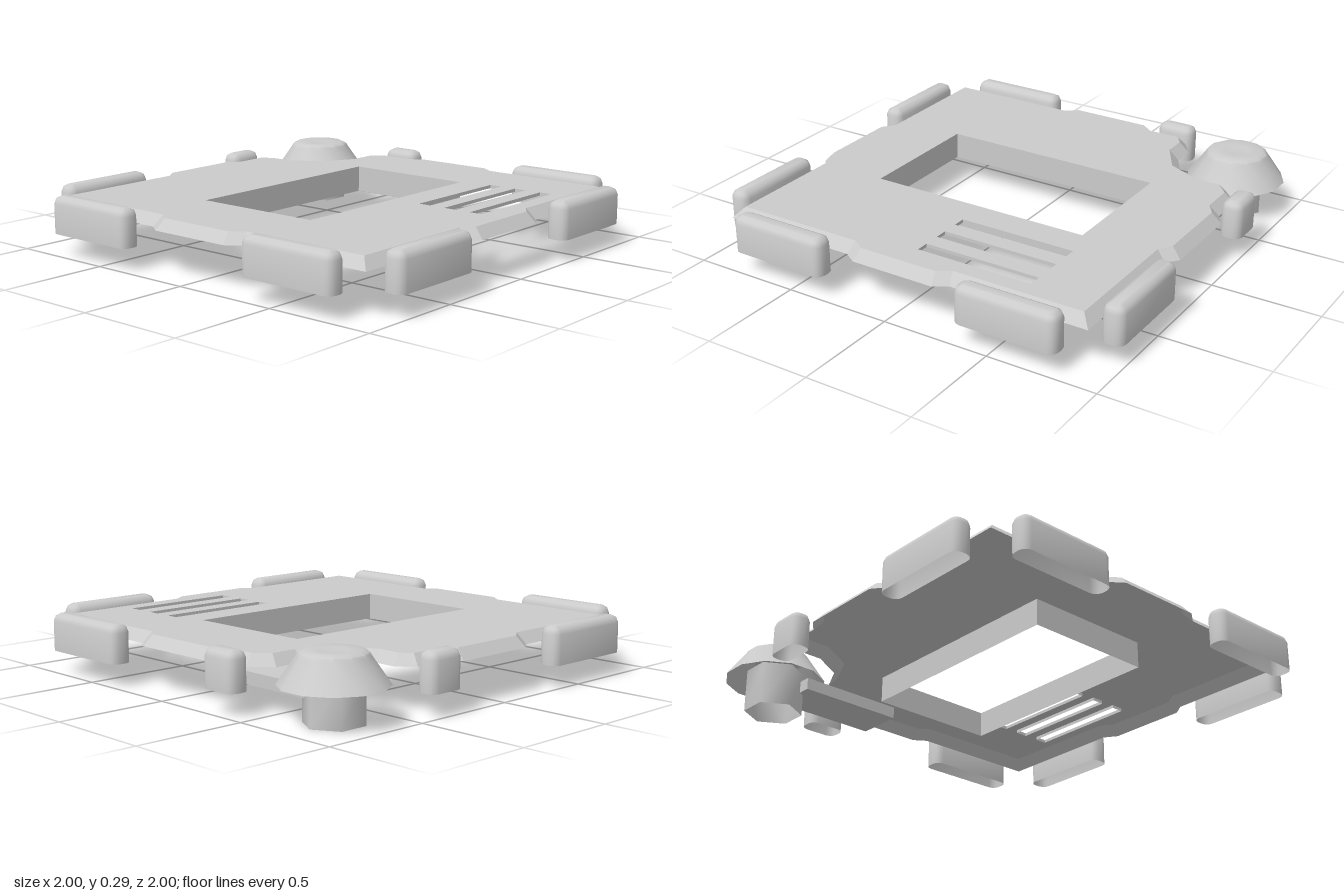
import * as THREE from 'three';
import { mergeGeometries, toCreasedNormals } from 'three/addons/utils/BufferGeometryUtils.js';

const V = (x, y) => new THREE.Vector2(x, y);
const material = new THREE.MeshStandardMaterial({ color: 0xcccccc, side: THREE.DoubleSide });

// Moves a counter-clockwise outline inwards by d with mitred corners
function inset(points, d) {
  const n = points.length;
  const normal = (a, b) => V(a.y - b.y, b.x - a.x).normalize();
  return points.map((p, i) => {
    const n1 = normal(points[(i + n - 1) % n], p);
    const n2 = normal(p, points[(i + 1) % n]);
    const k = d / (1 + n1.dot(n2));
    return V(p.x + (n1.x + n2.x) * k, p.y + (n1.y + n2.y) * k);
  });
}

// Wall through stacked outlines; outline y points to the back (-z)
function wall(rings) {
  const pos = [];
  const put = (r, i) => {
    const p = r.points[i % r.points.length];
    pos.push(p.x, r.y, -p.y);
  };
  for (let k = 0; k < rings.length - 1; k++) {
    const a = rings[k], b = rings[k + 1];
    for (let i = 0; i < a.points.length; i++) {
      put(a, i); put(a, i + 1); put(b, i + 1);
      put(a, i); put(b, i + 1); put(b, i);
    }
  }
  const g = new THREE.BufferGeometry();
  g.setAttribute('position', new THREE.Float32BufferAttribute(pos, 3));
  g.computeVertexNormals();
  return g;
}

// Level face at height y, with optional holes
function face(points, y, holes = []) {
  const shape = new THREE.Shape(points);
  shape.holes = holes.map(h => new THREE.Path(h));
  const g = new THREE.ShapeGeometry(shape).toNonIndexed();
  g.deleteAttribute('uv');
  return g.rotateX(-Math.PI / 2).translate(0, y, 0);
}

// Rectangle from x/z limits, clockwise so that its walls face inwards
const hole = (x0, x1, z0, z1) => [V(x0, -z0), V(x1, -z0), V(x1, -z1), V(x0, -z1)];

function roundedRect(w, d, r, steps = 3) {
  const points = [];
  [[1, 1], [-1, 1], [-1, -1], [1, -1]].forEach(([sx, sy], q) => {
    for (let i = 0; i <= steps; i++) {
      const a = (q + i / steps) * Math.PI / 2;
      points.push(V(sx * (w / 2 - r) + r * Math.cos(a), sy * (d / 2 - r) + r * Math.sin(a)));
    }
  });
  return points;
}

export function createModel() {
  const model = new THREE.Group();
  const add = (name, geometry, x = 0, y = 0, z = 0) => {
    const mesh = new THREE.Mesh(geometry, material);
    mesh.name = name;
    mesh.position.set(x, y, z);
    model.add(mesh);
    return mesh;
  };

  // Panel: thin shell with side tabs, a corner cut-out and a sloping rim
  const outline = [
    [-0.9, 0.9], [-0.26, 0.9], [-0.2, 0.94], [0.2, 0.94], [0.26, 0.9], [0.9, 0.9],
    [0.9, 0.26], [0.94, 0.2], [0.94, -0.2], [0.9, -0.26], [0.9, -0.42],
    [0.82, -0.51], [0.69, -0.51], [0.555, -0.575], [0.475, -0.71], [0.475, -0.82], [0.42, -0.9],
    [0.26, -0.9], [0.2, -0.945], [-0.2, -0.945], [-0.26, -0.9], [-0.9, -0.9],
    [-0.9, -0.26], [-0.945, -0.2], [-0.945, 0.2], [-0.9, 0.26],
  ].map(([x, z]) => V(x, -z));
  const top = 0.243;
  const topOutline = inset(outline, 0.043);
  const windowHole = hole(-0.535, 0.53, -0.315, 0.305);
  const slots = [0.48, 0.615, 0.75].map(z => hole(0.02, 0.57, z - 0.03, z + 0.03));

  add('panel', mergeGeometries([
    face(topOutline, top, [windowHole, ...slots]),
    wall([{ points: outline, y: 0.195 }, { points: topOutline, y: top }]),
  ]));
  add('windowFrame', wall([{ points: windowHole, y: 0.12 }, { points: windowHole, y: top }]));
  slots.forEach((s, i) =>
    add('slotEdge' + (i + 1), wall([{ points: s, y: top - 0.015 }, { points: s, y: top }])));

  // Bumper pads around the rim: hollow, with rounded upper edges
  const pad = (name, x0, x1, z0, z1) => {
    const base = roundedRect(x1 - x0, z1 - z0, 0.036);
    const rings = [[0, 0.1], [0, 0.235], [0.009, 0.258], [0.03, 0.27]]
      .map(([d, y]) => ({ points: inset(base, d), y }));
    const geometry = mergeGeometries([wall(rings), face(rings[3].points, 0.27)]);
    add(name, toCreasedNormals(geometry, 0.8), (x0 + x1) / 2, 0, (z0 + z1) / 2);
  };
  pad('frontPadRight', -0.81, -0.335, 0.9, 1);
  pad('frontPadLeft', 0.335, 0.81, 0.9, 1);
  pad('backPadRight', -0.81, -0.335, -1, -0.905);
  pad('backPadLeft', 0.258, 0.44, -1, -0.905);
  pad('rightPadFront', -1, -0.905, 0.335, 0.81);
  pad('rightPadBack', -1, -0.905, -0.815, -0.338);
  pad('leftPadFront', 0.9, 1, 0.335, 0.81);
  pad('leftPadBack', 0.9, 1, -0.445, -0.262);

  // Corner knob: hexagonal stem, flared twelve-sided cap
  const kx = 0.75, kz = -0.765;
  add('knobStem', toCreasedNormals(
    new THREE.CylinderGeometry(0.13, 0.13, 0.2, 6, 1, true).rotateY(Math.PI / 6), 1.2), kx, 0.1, kz);
  const profile = [[0.228, 0.155], [0.148, 0.27], [0.14, 0.284], [0.118, 0.295], [0.06, 0.29], [0, 0.288]];
  const cap = new THREE.LatheGeometry(profile.map(([r, y]) => V(r, y)), 12).rotateY(Math.PI / 12);
  add('knobCap', toCreasedNormals(cap, 0.6), kx, 0, kz);

  // Arm under the panel that carries the knob
  add('knobArm', new THREE.BoxGeometry(0.22, 0.055, 0.5), 0.72, 0.128, -0.43);

  return model;
}
